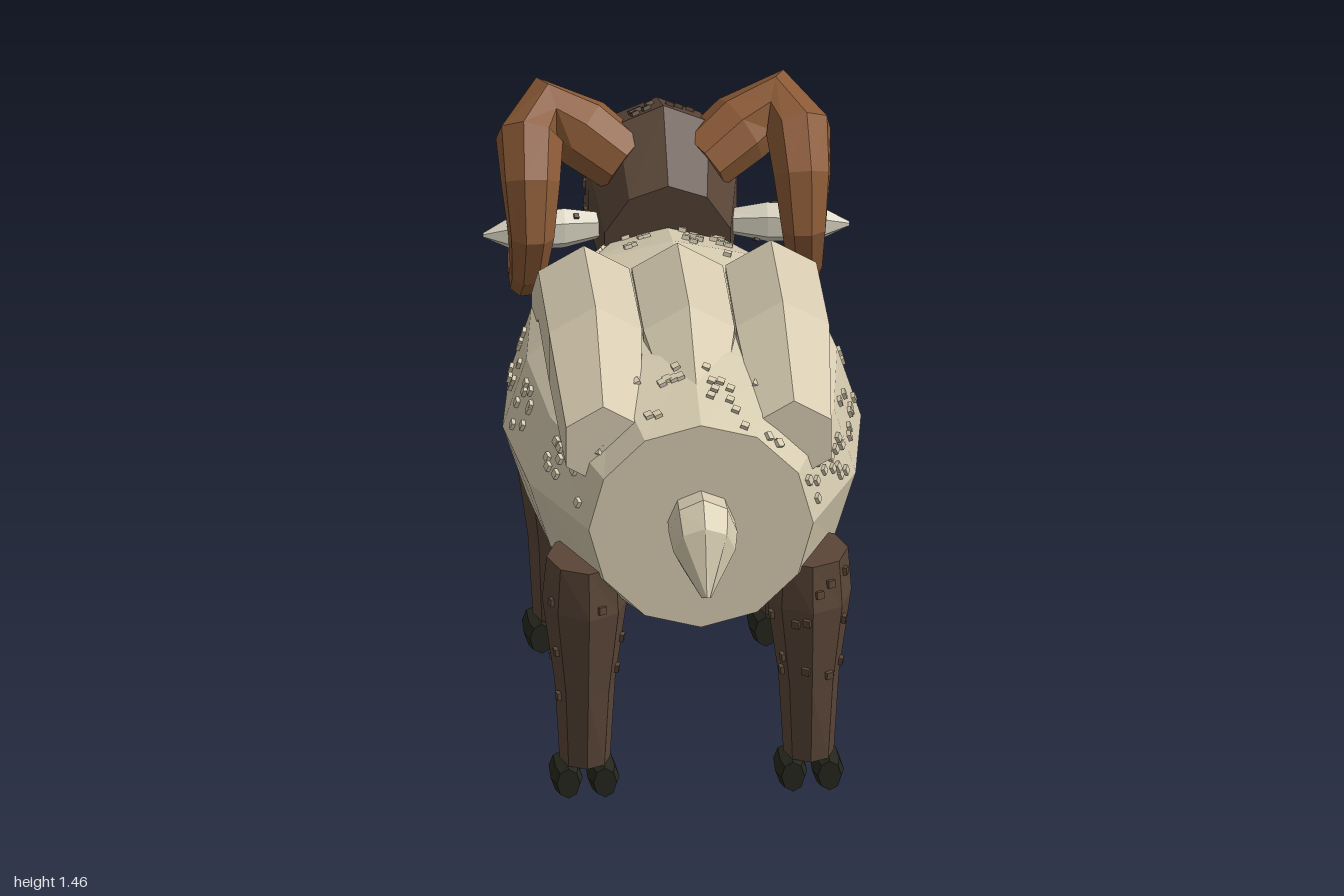
import * as THREE from 'three';
import { mergeGeometries } from 'three/addons/utils/BufferGeometryUtils.js';

const V = (x, y, z) => new THREE.Vector3(x, y, z);
const mat = (name, color) => {
  const m = new THREE.MeshStandardMaterial({ color, flatShading: true });
  m.name = name;
  return m;
};

// Ring of n points around c, starting along u and turning towards v
const ring = (c, u, v, n) => Array.from({ length: n }, (_, i) => {
  const a = (i / n) * Math.PI * 2;
  return c.clone().addScaledVector(u, Math.cos(a)).addScaledVector(v, Math.sin(a));
});
// Ring given by its top and bottom heights and depths
const slice = (x, topY, topZ, botY, botZ, rx, n) => ring(
  V(x, (topY + botY) / 2, (topZ + botZ) / 2),
  V(0, (topY - botY) / 2, (topZ - botZ) / 2), V(rx, 0, 0), n);

// Capped faceted skin through rings, wound so that it faces outwards
function loft(rings) {
  const tris = [], n = rings[0].length;
  const centre = r => r.reduce((s, p) => s.add(p), V(0, 0, 0)).divideScalar(n);
  const first = centre(rings[0]), last = centre(rings.at(-1));
  for (let j = 0; j < n; j++) {
    const k = (j + 1) % n;
    for (let i = 0; i < rings.length - 1; i++) {
      const a = rings[i], b = rings[i + 1];
      tris.push([a[j], a[k], b[k]], [a[j], b[k], b[j]]);
    }
    tris.push([first, rings[0][k], rings[0][j]], [last, rings.at(-1)[j], rings.at(-1)[k]]);
  }
  let volume = 0;
  for (const [a, b, c] of tris) {
    volume += a.clone().sub(first).dot(b.clone().sub(first).cross(c.clone().sub(first)));
  }
  if (volume < 0) tris.forEach(t => t.reverse());
  const g = new THREE.BufferGeometry().setFromPoints(tris.flat());
  g.computeVertexNormals();
  return g;
}

// Tapered tube through [x, y, z, radius] stations
function taperTube(stations, n) {
  const pts = stations.map(s => V(s[0], s[1], s[2]));
  let prev = null, u = null;
  return loft(pts.map((p, i) => {
    const t = pts[Math.min(i + 1, pts.length - 1)].clone().sub(pts[Math.max(i - 1, 0)]).normalize();
    if (!u) u = V(0, 1, 0).addScaledVector(t, -t.y).normalize();
    else u.applyQuaternion(new THREE.Quaternion().setFromUnitVectors(prev, t));
    prev = t;
    const v = t.clone().cross(u), r = stations[i][3];
    return ring(p, u.clone().multiplyScalar(r), v.multiplyScalar(r), n);
  }));
}

// Small cubes scattered over a lofted skin
let seed = 7;
const rand = () => (seed = (seed * 16807) % 2147483647) / 2147483647;
function studs(rings, count, accept, size = 0.02) {
  const out = [], n = rings[0].length;
  for (let tries = 0; out.length < count && tries < 3000; tries++) {
    const i = Math.floor(rand() * (rings.length - 1)), j = Math.floor(rand() * n), k = (j + 1) % n;
    const s = 0.15 + 0.7 * rand(), t = 0.1 + 0.8 * rand();
    const a = rings[i][j].clone().lerp(rings[i][k], s);
    const b = rings[i + 1][j].clone().lerp(rings[i + 1][k], s);
    const p = a.clone().lerp(b, t);
    if (!accept(p)) continue;
    const normal = b.sub(a).cross(rings[i][k].clone().sub(rings[i][j])).normalize();
    const q = new THREE.Quaternion().setFromUnitVectors(V(0, 0, 1), normal);
    out.push(new THREE.BoxGeometry(size, size, size).applyQuaternion(q).translate(p.x, p.y, p.z));
  }
  return mergeGeometries(out);
}

export function createModel() {
  const model = new THREE.Group();
  model.name = 'ram';
  const wool = mat('cream wool', 0xd6cbb0), hide = mat('brown hide', 0x5a4638);
  const hornMat = mat('tan horn', 0x8b5a36), earMat = mat('pale ear', 0xd9d4c2);
  const hoofMat = mat('dark hoof', 0x25271d), eyeMat = mat('eye', 0x1d261f);
  const noseMat = mat('nose', 0x2d2a22);
  const add = (name, geo, m) => {
    const mesh = new THREE.Mesh(geo, m);
    mesh.name = name;
    model.add(mesh);
    return mesh;
  };

  // Barrel body: [z, centre y, half width, half height]
  const body = [
    [0.8, 0.812, 0.288, 0.283], [0.5, 0.815, 0.42, 0.362], [0.15, 0.815, 0.46, 0.382],
    [-0.15, 0.83, 0.42, 0.355], [-0.36, 0.85, 0.27, 0.285],
  ].map(([z, y, rx, ry]) => ring(V(0, y, z), V(0, ry, 0), V(rx, 0, 0), 12));
  add('body', loft(body), wool);
  add('bodyStuds', studs(body, 150, p => p.y > 0.83 && (p.y < 1.03 || p.z > 0.55 || p.z < -0.1)), wool);

  // Three long wool lobes along the back
  for (const s of [-1, 1]) {
    add('sideWoolLobe', loft([
      [0.72, 0.245, 1.01, 0.11], [0.4, 0.24, 1.118, 0.138],
      [0, 0.24, 1.112, 0.135], [-0.17, 0.275, 0.99, 0.1],
    ].map(([z, x, y, r]) => ring(V(s * x, y, z), V(0, r, 0), V(r, 0, 0), 6))), wool);
  }
  add('middleWoolLobe', loft([
    [0.7, 1.04, 0.07], [0.4, 1.118, 0.135], [0, 1.112, 0.135], [-0.17, 1.03, 0.1],
  ].map(([z, y, r]) => ring(V(0, y, z), V(0, r, 0), V(r, 0, 0), 6))), wool);

  // Drooping tail
  add('tail', loft([
    slice(0, 0.91, 0.78, 0.745, 0.78, 0.085, 8),
    slice(0, 0.922, 0.88, 0.73, 0.86, 0.088, 8),
    slice(0, 0.87, 0.945, 0.72, 0.88, 0.08, 8),
    slice(0, 0.7, 0.998, 0.682, 0.955, 0.012, 8),
  ]), wool);

  // Legs and cloven hooves
  for (const s of [-1, 1]) {
    for (const [name, z, shift] of [['front', -0.245, 0], ['hind', 0.655, 0.02]]) {
      const leg = [
        [0.685, 0.1, 0.122, shift], [0.56, 0.11, 0.157, 0], [0.33, 0.078, 0.12, 0], [0.11, 0.065, 0.08, 0],
      ].map(([y, rx, rz, dz]) => ring(V(s * 0.287, y, z + dz), V(0, 0, rz), V(rx, 0, 0), 8));
      add(name + 'Leg', loft(leg), hide);
      add(name + 'LegStuds', studs(leg, 16, p => p.y > 0.3 && p.y < 0.66), hide);
      for (const x of [0.241, 0.335]) {
        add(name + 'Hoof', loft([
          slice(s * x, 0.113, z + 0.082, 0.03, z + 0.08, 0.03, 8),
          slice(s * x, 0.108, z + 0.02, 0.015, z + 0.02, 0.041, 8),
          slice(s * x, 0.09, z - 0.09, 0.008, z - 0.09, 0.038, 8),
          slice(s * x, 0.07, z - 0.123, 0.015, z - 0.12, 0.024, 8),
        ]), hoofMat);
      }
    }
  }

  // Head from nape to muzzle
  const head = [
    [1.27, -0.3, 0.88, -0.36, 0.17], [1.42, -0.47, 0.9, -0.5, 0.2], [1.34, -0.7, 0.85, -0.72, 0.19],
    [1.09, -0.85, 0.76, -0.84, 0.155], [0.98, -0.996, 0.79, -0.996, 0.12],
  ].map(a => slice(0, ...a, 10));
  add('head', loft(head), hide);
  add('headStuds', studs(head, 55, p => p.z < -0.5 && p.y > 0.92), hide);
  const nose = add('nose', new THREE.CircleGeometry(0.06, 10), noseMat);
  nose.position.set(0, 0.885, -0.999);
  nose.rotation.y = Math.PI;

  for (const s of [-1, 1]) {
    // Almond eye with pupil
    const eye = add('eye', new THREE.SphereGeometry(1, 8, 6), eyeMat);
    eye.scale.set(0.025, 0.028, 0.052);
    eye.position.set(s * 0.172, 1.21, -0.69);
    eye.rotation.x = -0.25;
    const pupil = add('pupil', new THREE.SphereGeometry(0.016, 8, 6), hoofMat);
    pupil.position.set(s * 0.188, 1.215, -0.69);

    // Curled horn
    add('horn', taperTube([
      [0.1, 1.27, -0.45, 0.085], [0.2, 1.335, -0.5, 0.095], [0.305, 1.375, -0.535, 0.098],
      [0.345, 1.345, -0.45, 0.088], [0.348, 1.26, -0.37, 0.077], [0.35, 1.13, -0.325, 0.06],
      [0.355, 1.02, -0.36, 0.048], [0.358, 0.95, -0.45, 0.042], [0.358, 0.94, -0.56, 0.037],
      [0.355, 0.975, -0.665, 0.029], [0.35, 1.06, -0.71, 0.021], [0.348, 1.14, -0.72, 0.013],
      [0.345, 1.17, -0.72, 0.016], [0.345, 1.22, -0.715, 0.003],
    ].map(([x, y, z, r]) => [s * x, y, z, r]), 8), hornMat);

    // Ear pointing sideways
    const ear = [[0.14, 0.03, 0.025], [0.26, 0.055, 0.04], [0.39, 0.05, 0.036], [0.47, 0.006, 0.006]]
      .map(([x, ry, rz]) => ring(V(s * x, 1.118, -0.43 + x * 0.13), V(0, ry, 0), V(0, 0, rz), 6));
    add('ear', loft(ear), earMat);
    add('earStuds', studs(ear, 6, p => Math.abs(p.x) > 0.22 && Math.abs(p.x) < 0.4, 0.013), hide);
  }
  return model;
}
